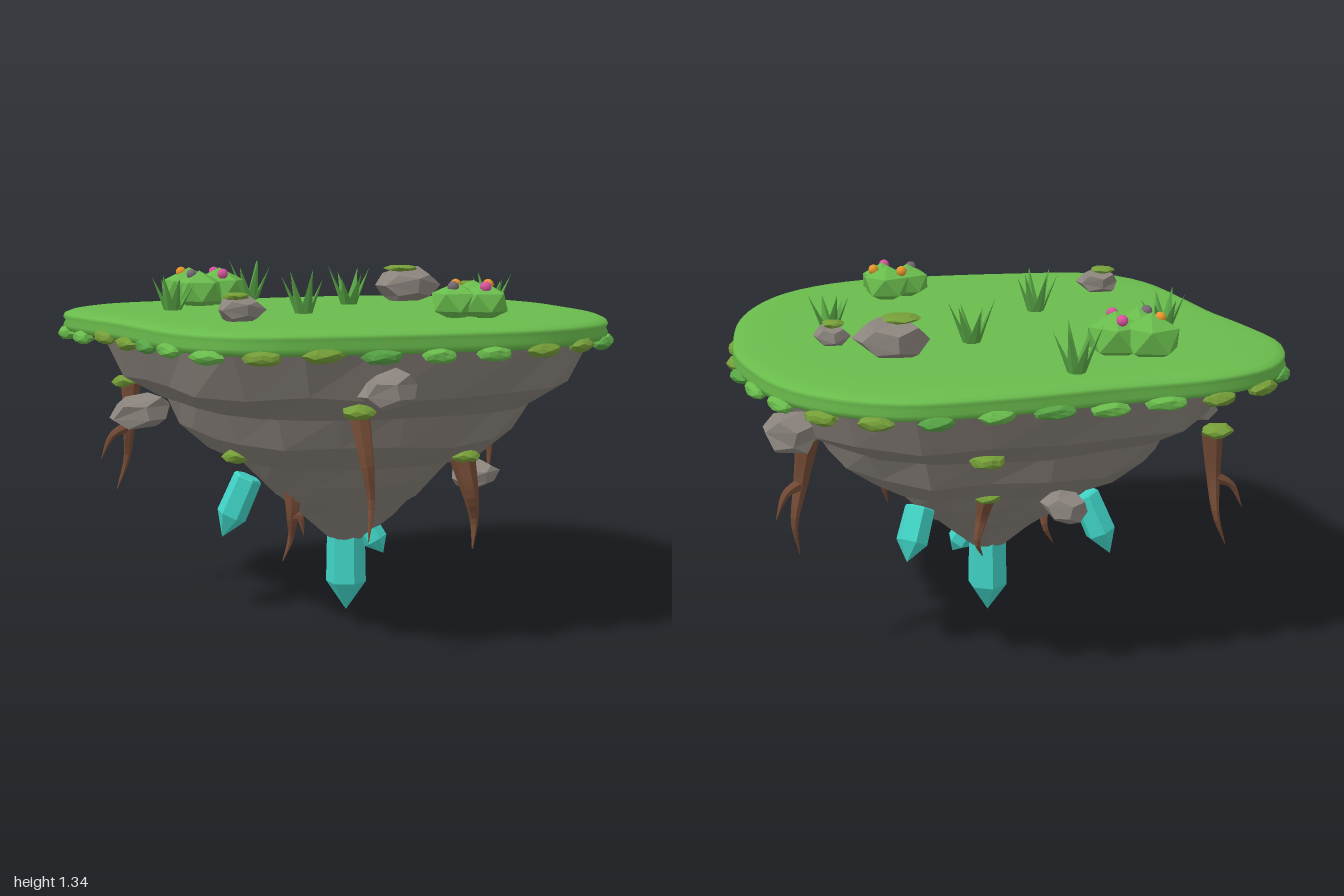
import * as THREE from 'three';

const paint = (name, color) => { const m = new THREE.MeshStandardMaterial({ color }); m.name = name; return m; };
const M = {
  grass: paint('grass green', 0x69bb4c), blade: paint('blade green', 0x57a445), moss: paint('moss olive', 0x759d38),
  rock: paint('rock grey', 0x857e77), boulder: paint('boulder grey', 0x8b847d), root: paint('root brown', 0x734a35),
  crystal: paint('crystal teal', 0x40d3c5), pink: paint('petal pink', 0xd8559e), orange: paint('petal orange', 0xe8982c),
  mauve: paint('petal mauve', 0x756a74),
};
const V = (x, y, z) => new THREE.Vector3(x, y, z);

// seeded random numbers
let seed = 7;
const rnd = () => (seed = (seed * 16807) % 2147483647) / 2147483647;
const flat = (g) => { const f = g.index ? g.toNonIndexed() : g; f.computeVertexNormals(); return f; };

// turf outline as x, z pairs
const OUTLINE = [
  0.24, -0.95, 0.56, -0.92, 0.78, -0.77, 0.9, -0.585, 0.96, -0.345, 0.98, -0.13, 0.955, 0.08, 0.9, 0.35, 0.8, 0.59,
  0.67, 0.77, 0.48, 0.895, 0.27, 0.95, -0.02, 0.94, -0.345, 0.9, -0.665, 0.83, -0.8, 0.725, -0.88, 0.54, -0.905, 0.27,
  -0.92, -0.02, -0.96, -0.29, -0.97, -0.505, -0.905, -0.69, -0.77, -0.84, -0.56, -0.915, -0.18, -0.93];
const outline = new THREE.CatmullRomCurve3(
  Array.from({ length: OUTLINE.length / 2 }, (_, i) => V(OUTLINE[2 * i], 0, OUTLINE[2 * i + 1])), true);
const footprint = (n) => outline.getSpacedPoints(n).slice(0, n);

// rock footprint: the outline, partly rounded towards a circle
const rockFootprint = (n) => footprint(n).map((p) => p.lerp(p.clone().setLength(0.97), 0.4).add(V(0.015, 0, 0)));

// skin through scaled copies of a footprint, rings listed [y, scale] from bottom to top
function loft(pts, rings, jitter = 0) {
  const n = pts.length, pos = [], idx = [];
  const bump = pts.map(() => 1 + (rnd() - 0.5) * jitter);
  rings.forEach(([y, s], r) => pts.forEach((p, j) => {
    const k = s * bump[j] * (1 + (rnd() - 0.5) * jitter * 0.6);
    const dy = r > 1 && r < rings.length - 1 ? (rnd() - 0.5) * jitter * 0.5 : 0;
    pos.push(p.x * k, y + dy, p.z * k);
    if (r === rings.length - 1) return;
    const a = r * n + j, b = r * n + (j + 1) % n;
    idx.push(a, a + n, b, b, a + n, b + n);
  }));
  const g = new THREE.BufferGeometry();
  g.setAttribute('position', new THREE.Float32BufferAttribute(pos, 3));
  g.setIndex(idx);
  g.computeVertexNormals();
  return g;
}

// lumpy faceted version of a unit solid
function lump(g, amount, phase) {
  const p = g.attributes.position, v = V();
  for (let i = 0; i < p.count; i++) {
    v.fromBufferAttribute(p, i);
    v.multiplyScalar(1 + amount * Math.sin(v.x * 4.1 + v.y * 5.3 + v.z * 3.7 + phase));
    p.setXYZ(i, v.x, v.y, v.z);
  }
  return flat(g);
}

// tapering root along a path
function rootGeometry(points, r) {
  const curve = new THREE.CatmullRomCurve3(points), steps = 12, sides = 6;
  const g = new THREE.TubeGeometry(curve, steps, r, sides), p = g.attributes.position, v = V();
  for (let i = 0; i < p.count; i++) {
    const t = Math.floor(i / (sides + 1)) / steps, c = curve.getPointAt(t);
    v.fromBufferAttribute(p, i).sub(c).multiplyScalar(1.05 - t).add(c);
    p.setXYZ(i, v.x, v.y, v.z);
  }
  return flat(g);
}

export function createModel() {
  const model = new THREE.Group();
  model.name = 'floatingIsland';
  const add = (name, geo, mat, parent = model) => {
    const m = new THREE.Mesh(geo, mat);
    m.name = name;
    parent.add(m);
    return m;
  };
  const place = (m, [x, y, z], [sx, sy, sz]) => {
    m.position.set(x, y, z);
    m.scale.set(sx, sy, sz);
    return m;
  };
  const addClump = (name, mat, at, size) =>
    place(add(name, lump(new THREE.IcosahedronGeometry(1, 1), 0.08, rnd() * 6), mat), at, size);
  const addStone = (name, at, size) =>
    place(add(name, lump(new THREE.DodecahedronGeometry(1.06, 0), 0.08, rnd() * 6), M.boulder), at, size);

  // turf slab with a rounded lip
  add('turf', loft(footprint(80), [[1.083, 0], [1.081, 0.955], [1.088, 0.985], [1.108, 0.993],
    [1.125, 0.985], [1.138, 0.993], [1.15, 0.988], [1.16, 0.965], [1.167, 0.92], [1.17, 0.8], [1.171, 0]]), M.grass);

  // rock tiers stacked below
  [
    [[0.85, 0], [0.835, 0.7], [0.92, 0.83], [1.09, 0.91], [1.09, 0]],
    [[0.64, 0], [0.63, 0.51], [0.72, 0.63], [0.85, 0.69], [0.85, 0]],
    [[0.47, 0], [0.46, 0.28], [0.55, 0.37], [0.645, 0.45], [0.645, 0]],
    [[0.27, 0], [0.29, 0.07], [0.39, 0.18], [0.48, 0.28], [0.48, 0]],
  ].forEach((rings, i) => add('rockTier' + (i + 1), flat(loft(rockFootprint(22 - i * 3), rings, 0.05)), M.rock));

  // leafy clumps hanging round the rim
  const rim = 32;
  for (let i = 0; i < rim; i++) {
    const p = outline.getPointAt(i / rim), t = outline.getTangentAt(i / rim);
    const m = addClump('rimClump', [M.grass, M.moss, M.blade][i * 7 % 5 % 3],
      [p.x * 0.982, 1.073 + rnd() * 0.015, p.z * 0.982], [0.06 + rnd() * 0.02, 0.026, 0.035]);
    m.rotation.y = Math.atan2(-t.z, t.x);
  }

  // boulders set into the rock
  [[-0.23, 0.96, 0.85, 0.1, 0.065, 0.07], [-0.79, 0.81, -0.1, 0.115, 0.065, 0.09], [0.84, 0.95, -0.48, 0.09, 0.075, 0.11],
    [0.39, 0.555, 0.32, 0.085, 0.055, 0.095], [-0.12, 0.62, -0.58, 0.08, 0.06, 0.075]]
    .forEach(([x, y, z, a, b, c]) => { addStone('sideBoulder', [x, y, z], [a, b, c]).rotation.z = 0.2; });

  // boulders on the turf, each with a moss cap
  [[0.46, 1.235, -0.4, 0.125, 0.075, 0.11, 0.43, 0.07], [0.63, 1.205, -0.18, 0.062, 0.045, 0.055, 0.625, 0.04],
    [-0.58, 1.21, 0.4, 0.08, 0.05, 0.068, -0.6, 0.048]].forEach(([x, y, z, a, b, c, mx, r]) => {
    addStone('turfBoulder', [x, y, z], [a, b, c]);
    addClump('mossCap', M.moss, [mx, y + b * 0.93, z], [r, 0.014, r]);
  });

  // bushes of faceted blobs with small blossoms
  const blob = new THREE.IcosahedronGeometry(1, 0).rotateZ(-0.5536);
  const bush = (blobs, blossoms) => {
    const g = new THREE.Group();
    g.name = 'bush';
    model.add(g);
    blobs.forEach(([x, z, r, h], i) => {
      place(add('foliage', blob, M.grass, g), [x, 1.225, z], [r, h, r]).rotation.y = i * 1.3;
    });
    blossoms.forEach(([mat, x, z, y]) => add('blossom', new THREE.IcosahedronGeometry(0.021, 1), mat, g).position.set(x, y, z));
  };
  bush([[-0.42, -0.6, 0.115, 0.09], [-0.31, -0.545, 0.115, 0.09], [-0.42, -0.475, 0.1, 0.082]],
    [[M.orange, -0.45, -0.61, 1.297], [M.pink, -0.31, -0.61, 1.295], [M.pink, -0.32, -0.48, 1.292], [M.mauve, -0.45, -0.48, 1.292]]);
  bush([[0.27, 0.51, 0.1, 0.075], [0.18, 0.545, 0.095, 0.07], [0.27, 0.6, 0.09, 0.07]],
    [[M.orange, 0.22, 0.47, 1.283], [M.orange, 0.32, 0.53, 1.283], [M.mauve, 0.16, 0.565, 1.28], [M.pink, 0.255, 0.63, 1.28]]);

  // grass tufts of broad pointed blades leaning outward
  [[-0.09, -0.77, 0.18], [-0.61, -0.25, 0.15], [0.14, -0.28, 0.16], [-0.23, 0.13, 0.16], [0.59, 0.07, 0.14]].forEach(([x, z, h]) => {
    const tuft = new THREE.Group();
    tuft.name = 'grassTuft';
    tuft.position.set(x, 1.16, z);
    model.add(tuft);
    for (let i = 0; i < 6; i++) {
      const len = h * (0.7 + rnd() * 0.35), lean = 0.055 + rnd() * 0.02;
      const g = new THREE.ConeGeometry(0.027, len, 4, 2).translate(0, len / 2, 0), p = g.attributes.position;
      for (let k = 0; k < p.count; k++) {
        const t = p.getY(k) / len;
        p.setZ(k, p.getZ(k) * 0.5 + 0.015 + lean * t);
      }
      add('blade', flat(g), M.blade, tuft).rotation.y = i * Math.PI / 3 + rnd() * 0.3;
    }
  });

  // hanging crystals: top, tip, radius
  [[V(0, 0.315, 0), V(0, 0, 0), 0.078], [V(-0.33, 0.52, -0.19), V(-0.425, 0.28, -0.235), 0.06],
    [V(0.33, 0.55, -0.25), V(0.4, 0.365, -0.32), 0.06], [V(0.055, 0.365, 0.035), V(0.12, 0.23, 0.085), 0.048]].forEach(([top, tip, r]) => {
    const len = top.distanceTo(tip);
    const prof = [[0, 0], [r, 0.36], [r * 0.95, 0.97], [r * 0.85, 1], [0, 1]].map(([a, t]) => new THREE.Vector2(a, t * len));
    const m = add('crystal', flat(new THREE.LatheGeometry(prof, 6)), M.crystal);
    m.position.copy(tip);
    m.quaternion.setFromUnitVectors(V(0, 1, 0), top.clone().sub(tip).normalize());
  });

  // roots: start, end, thickness, and a side branch, with moss where they emerge
  [[V(-0.67, 0.86, -0.6), V(-0.73, 0.43, -0.62), 0.038, V(-0.8, 0.56, -0.6)],
    [V(-0.28, 0.87, 0.72), V(-0.3, 0.45, 0.84), 0.038, V(-0.25, 0.55, 0.76)],
    [V(0.75, 0.87, -0.3), V(0.79, 0.43, -0.29), 0.042, V(0.88, 0.59, -0.35)],
    [V(0.26, 0.65, 0.46), V(0.29, 0.31, 0.49), 0.046, null],
    [V(-0.25, 0.52, 0.06), V(-0.29, 0.23, 0.06), 0.036, V(-0.22, 0.33, 0.1)],
    [V(0.13, 0.64, -0.45), V(0.14, 0.4, -0.42), 0.034, null]].forEach(([a, b, r, c]) => {
    const k1 = a.clone().lerp(b, 0.4).add(V(0.012, 0, 0.01)), k2 = a.clone().lerp(b, 0.72).add(V(0.03, 0, -0.02));
    add('root', rootGeometry([a, k1, k2, b], r), M.root);
    if (c) add('rootBranch', rootGeometry([k1, k1.clone().lerp(c, 0.6).add(V(0, 0.04, 0)), c], r * 0.6), M.root);
    if (a.y > 0.6) addClump('rootMoss', M.moss, [a.x * 1.02, a.y + 0.005, a.z * 1.02], [0.06, 0.028, 0.05]);
  });

  // loose moss patches on the ledges
  [[0.74, 0.87, 0.18], [-0.48, 0.65, 0.1], [0.2, 0.86, -0.7]].forEach((p) => addClump('ledgeMoss', M.moss, p, [0.062, 0.028, 0.055]));

  return model;
}
